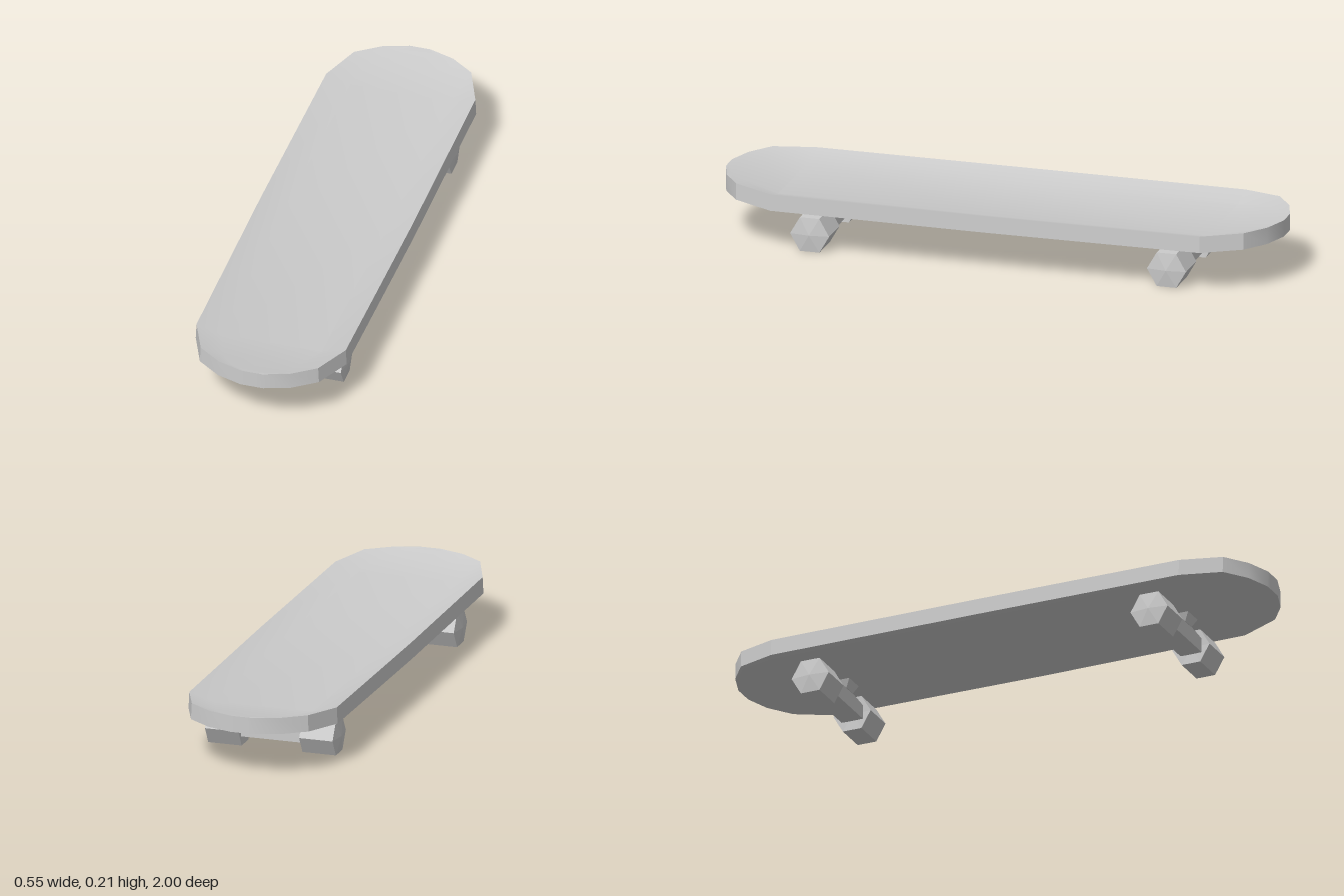
import * as THREE from 'three';
import { toCreasedNormals } from 'three/addons/utils/BufferGeometryUtils.js';

const smooth = new THREE.MeshStandardMaterial({ color: 0xcccccc });
const faceted = new THREE.MeshStandardMaterial({ color: 0xcccccc, flatShading: true });

function addMesh(parent, name, geometry, material) {
  const mesh = new THREE.Mesh(geometry, material);
  mesh.name = name;
  parent.add(mesh);
  return mesh;
}

// Deck: lofted cross-sections, dished across its width and raised at both ends
function deckGeometry() {
  // z, half width, flat half width, centre underside, rim underside
  const half = [
    [0, 0.275, 0.185, 0.13, 0.156],
    [0.77, 0.27, 0.18, 0.132, 0.157],
    [0.91, 0.213, 0.13, 0.152, 0.165],
    [0.97, 0.13, 0.08, 0.16, 0.165],
    [1, 0.04, 0.02, 0.165, 0.165],
  ];
  const mirrored = half.slice(1).reverse().map(([z, ...rest]) => [-z, ...rest]);
  const sections = [...mirrored, ...half];
  const thick = 0.058;
  const positions = [];
  const index = [];
  for (const [z, w, flat, yc, yr] of sections) {
    // counter-clockwise loop seen from +z
    positions.push(
      -w, yr, z, -flat, yc, z, flat, yc, z, w, yr, z,
      w - 0.003, yr + thick, z, flat, yc + thick, z, -flat, yc + thick, z, -w + 0.003, yr + thick, z,
    );
  }
  const n = 8;
  const last = (sections.length - 1) * n;
  for (let s = 0; s < last; s += n) {
    for (let i = 0; i < n; i++) {
      const j = (i + 1) % n;
      index.push(s + i, s + j, s + n + j, s + i, s + n + j, s + n + i);
    }
  }
  // end faces, as strips between underside and top
  for (let i = 0; i < 3; i++) {
    const a = i, b = i + 1, c = 6 - i, d = 7 - i;
    index.push(a, c, b, a, d, c);
    index.push(last + a, last + b, last + c, last + a, last + c, last + d);
  }
  const geometry = new THREE.BufferGeometry();
  geometry.setAttribute('position', new THREE.Float32BufferAttribute(positions, 3));
  geometry.setIndex(index);
  return toCreasedNormals(geometry, 0.33);
}

// Wheel: six-sided roller with a shallow pointed outer cap
function wheelGeometry() {
  const profile = [[0, 0.114], [0.07, 0.11], [0.07, 0.231], [0, 0.24]];
  const geometry = new THREE.LatheGeometry(profile.map(([r, y]) => new THREE.Vector2(r, y)), 6);
  geometry.rotateZ(-Math.PI / 2);
  return geometry;
}

// Hanger: bar that thickens towards the middle
function hangerGeometry() {
  const shape = new THREE.Shape([
    [-0.115, 0.044], [0.115, 0.044], [0.115, 0.095], [0.027, 0.105], [-0.027, 0.105], [-0.115, 0.095],
  ].map(([x, y]) => new THREE.Vector2(x, y)));
  return new THREE.ExtrudeGeometry(shape, { depth: 0.08, bevelEnabled: false }).translate(0, 0, -0.04);
}

// Mount: block that flares up to the deck
function mountGeometry() {
  const geometry = new THREE.BoxGeometry(0.08, 0.032, 0.12).translate(0, 0.119, 0);
  const p = geometry.attributes.position;
  for (let i = 0; i < p.count; i++) {
    if (p.getY(i) < 0.119) p.setXYZ(i, p.getX(i) * 0.65, p.getY(i), p.getZ(i) * 0.7);
  }
  return geometry;
}

export function createModel() {
  const model = new THREE.Group();
  model.name = 'skateboard';
  addMesh(model, 'deck', deckGeometry(), smooth);

  const wheel = wheelGeometry();
  const hanger = hangerGeometry();
  const mount = mountGeometry();
  for (const [end, z, turn] of [['front', 0.64, 0], ['rear', -0.64, Math.PI]]) {
    const truck = new THREE.Group();
    truck.name = end + 'Truck';
    truck.position.z = z;
    truck.rotation.y = turn;
    addMesh(truck, 'hanger', hanger, faceted);
    addMesh(truck, 'mount', mount, faceted);
    for (const angle of [0, Math.PI]) {
      const w = addMesh(truck, 'wheel', wheel, faceted);
      w.position.y = 0.07;
      w.rotation.y = angle;
    }
    model.add(truck);
  }
  return model;
}
